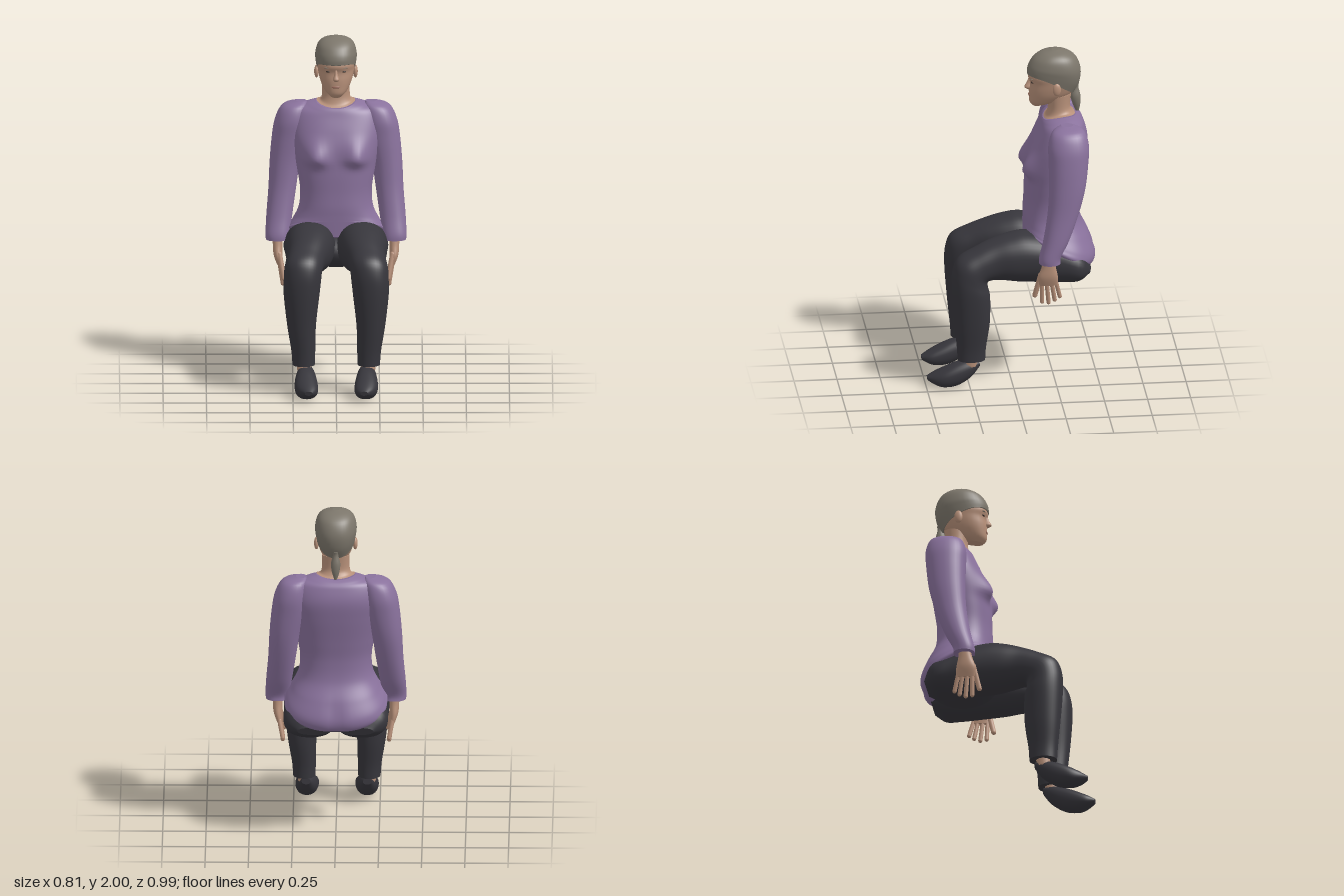
import * as THREE from 'three';

const mat = (name, color) => {
  const m = new THREE.MeshStandardMaterial({ color });
  m.name = name;
  return m;
};

// Smooth closed body through oval rings.
// Ring: [centreX, halfWidth, frontY, frontZ, backY, backZ, sideLift]
function loft(rings, { side = 1, seg = 32, sub = 5, pow = 2.2, warp } = {}) {
  const n = rings.length, pos = [], idx = [], p = new THREE.Vector3();
  const at = (i, k) => rings[Math.min(n - 1, Math.max(0, i))][k] ?? 0;
  const sample = (i, t) => Array.from({ length: 7 }, (_, k) => {
    const a = at(i - 1, k), b = at(i, k), c = at(i + 1, k), d = at(i + 2, k);
    return b + 0.5 * t * (c - a + t * (2 * a - 5 * b + 4 * c - d + t * (3 * (b - c) + d - a)));
  });
  const curve = (v) => Math.sign(v) * Math.abs(v) ** (2 / pow);
  const addRing = ([cx, w, yf, zf, yb, zb, lift]) => {
    for (let j = 0; j < seg; j++) {
      const a = (j / seg) * Math.PI * 2, c = curve(Math.cos(a)), s = curve(Math.sin(a));
      p.set(cx * side + w * c, (yf + yb) / 2 + (s * (yf - yb)) / 2 + lift * c * c,
        (zf + zb) / 2 + (s * (zf - zb)) / 2);
      if (warp) warp(p, s);
      pos.push(p.x, p.y, p.z);
    }
  };
  const rows = (n - 1) * sub + 1;
  for (let r = 0; r < rows; r++) addRing(sample(Math.floor(r / sub), (r % sub) / sub));
  for (let r = 0; r < rows - 1; r++) for (let j = 0; j < seg; j++) {
    const a = r * seg + j, b = r * seg + ((j + 1) % seg);
    idx.push(a, b, a + seg, b, b + seg, a + seg);
  }
  // End caps with their own vertices so the rims stay crisp
  for (const end of [0, n - 1]) {
    const base = pos.length / 3, q = sample(end, 0);
    addRing(q);
    pos.push(q[0] * side, (q[2] + q[4]) / 2, (q[3] + q[5]) / 2);
    for (let j = 0; j < seg; j++) {
      const a = base + j, b = base + ((j + 1) % seg);
      end ? idx.push(a, b, base + seg) : idx.push(b, a, base + seg);
    }
  }
  // Turn faces outward using the signed volume
  let vol = 0;
  const v = (i) => new THREE.Vector3(pos[i * 3], pos[i * 3 + 1], pos[i * 3 + 2]);
  for (let i = 0; i < idx.length; i += 3) vol += v(idx[i]).dot(v(idx[i + 1]).cross(v(idx[i + 2])));
  if (vol < 0) idx.reverse();
  const g = new THREE.BufferGeometry();
  g.setAttribute('position', new THREE.Float32BufferAttribute(pos, 3));
  g.setIndex(idx);
  g.computeVertexNormals();
  return g;
}

const ball = (x, y, z, rx, ry, rz) =>
  new THREE.SphereGeometry(1, 24, 16).scale(rx, ry, rz).translate(x, y, z);

function rod(a, b, r) {
  const A = new THREE.Vector3(...a), B = new THREE.Vector3(...b), d = B.clone().sub(A);
  const g = new THREE.CapsuleGeometry(r, d.length() - r, 5, 10);
  g.applyQuaternion(new THREE.Quaternion().setFromUnitVectors(new THREE.Vector3(0, 1, 0), d.normalize()));
  return g.translate(...A.add(B).multiplyScalar(0.5).toArray());
}

export function createModel() {
  const skin = mat('skin', 0xb8917a), hair = mat('hair', 0x7c766b), sweater = mat('sweater', 0x8a729d);
  const dark = mat('darkCloth', 0x37363c), lip = mat('lips', 0x9c6b5c), eye = mat('eyes', 0x40342e);
  const root = new THREE.Group();
  root.name = 'seatedWoman';
  const add = (name, geo, m) => {
    const mesh = new THREE.Mesh(geo, m);
    mesh.name = name;
    root.add(mesh);
  };

  // Sweater body with bust and a slight cleft at the seat
  const bodyWarp = (p, s) => {
    if (s > 0) {
      const dx = (Math.abs(p.x) - 0.125) / 0.065, dy = (p.y - 1.3) / (p.y > 1.3 ? 0.09 : 0.04);
      p.z += 0.052 * Math.exp(-dx * dx - dy * dy) * s;
    } else {
      const dx = p.x / 0.04, dy = (p.y - 0.77) / 0.1;
      p.z += 0.014 * Math.exp(-dx * dx - dy * dy);
    }
  };
  add('sweaterBody', loft([
    [0, 0.115, 1.58, -0.195, 1.605, -0.385, 0.02],
    [0, 0.17, 1.565, -0.185, 1.59, -0.41, 0.02],
    [0, 0.235, 1.53, -0.17, 1.56, -0.43, 0.02],
    [0, 0.26, 1.45, -0.135, 1.48, -0.45],
    [0, 0.25, 1.35, -0.105, 1.37, -0.44],
    [0, 0.225, 1.22, -0.09, 1.22, -0.415],
    [0, 0.207, 1.1, -0.085, 1.1, -0.4],
    [0, 0.215, 1.02, -0.08, 0.98, -0.41],
    [0, 0.25, 0.97, -0.08, 0.87, -0.46],
    [0, 0.285, 0.945, -0.08, 0.77, -0.495],
    [0, 0.292, 0.93, -0.08, 0.71, -0.48],
    [0, 0.2, 0.85, -0.08, 0.69, -0.44],
  ], { seg: 64, sub: 8, pow: 2.35, warp: bodyWarp }), sweater);
  add('trouserSeat', ball(0, 0.75, -0.25, 0.2, 0.11, 0.2), dark);

  // Neck, head and hair
  add('neck', loft([
    [0, 0.112, 1.585, -0.2, 1.61, -0.38, 0.02],
    [0, 0.09, 1.605, -0.215, 1.625, -0.365, 0.008],
    [0, 0.08, 1.65, -0.225, 1.66, -0.352],
    [0, 0.08, 1.72, -0.22, 1.74, -0.36],
  ]), skin);
  add('head', loft([
    [0, 0.035, 1.66, -0.137, 1.675, -0.24],
    [0, 0.062, 1.685, -0.117, 1.7, -0.31],
    [0, 0.085, 1.725, -0.114, 1.74, -0.362],
    [0, 0.098, 1.765, -0.114, 1.78, -0.385],
    [0, 0.106, 1.81, -0.118, 1.82, -0.398],
    [0, 0.11, 1.85, -0.108, 1.86, -0.4],
    [0, 0.1, 1.895, -0.13, 1.9, -0.385],
    [0, 0.06, 1.95, -0.18, 1.95, -0.33],
  ], { pow: 2.3 }), skin);
  add('hairCap', loft([
    [0, 0.112, 1.858, -0.104, 1.735, -0.372, 0.03],
    [0, 0.118, 1.885, -0.105, 1.8, -0.405, 0.02],
    [0, 0.12, 1.92, -0.117, 1.88, -0.414],
    [0, 0.106, 1.957, -0.145, 1.95, -0.388],
    [0, 0.074, 1.985, -0.19, 1.985, -0.34],
    [0, 0.02, 2.0, -0.245, 2.0, -0.285],
  ], { seg: 40 }), hair);
  add('ponytail', loft([
    [0, 0.018, 1.79, -0.36, 1.785, -0.405],
    [0, 0.016, 1.755, -0.365, 1.76, -0.402],
    [0, 0.027, 1.71, -0.355, 1.71, -0.413],
    [0, 0.022, 1.66, -0.367, 1.66, -0.413],
    [0, 0.008, 1.615, -0.385, 1.615, -0.405],
  ], { seg: 16 }), hair);

  // Face
  add('nose', loft([
    [0, 0.008, 1.83, -0.112, 1.83, -0.145],
    [0, 0.011, 1.8, -0.1, 1.8, -0.145],
    [0, 0.019, 1.775, -0.087, 1.773, -0.145],
    [0, 0.011, 1.762, -0.102, 1.762, -0.145],
  ], { seg: 16 }), skin);
  add('mouth', ball(0, 1.727, -0.119, 0.026, 0.008, 0.009), lip);

  for (const s of [1, -1]) {
    const side = s > 0 ? 'left' : 'right', o = { side: s };
    add(side + 'Eye', ball(s * 0.044, 1.818, -0.131, 0.015, 0.006, 0.01), eye);
    add(side + 'Brow', ball(s * 0.046, 1.84, -0.127, 0.022, 0.004, 0.01), hair);
    add(side + 'Ear', ball(s * 0.112, 1.79, -0.265, 0.014, 0.038, 0.024), skin);

    add(side + 'Sleeve', loft([
      [0.2, 0.03, 1.605, -0.28, 1.605, -0.35],
      [0.235, 0.075, 1.575, -0.225, 1.58, -0.41],
      [0.255, 0.097, 1.5, -0.2, 1.5, -0.435],
      [0.27, 0.1, 1.4, -0.2, 1.4, -0.43],
      [0.295, 0.088, 1.25, -0.2, 1.25, -0.41],
      [0.31, 0.08, 1.1, -0.19, 1.1, -0.37],
      [0.327, 0.075, 0.95, -0.165, 0.95, -0.315],
      [0.337, 0.07, 0.85, -0.14, 0.85, -0.265],
      [0.337, 0.068, 0.81, -0.137, 0.81, -0.262],
    ], o), sweater);

    // Hand with spread fingers
    add(side + 'Palm', loft([
      [0.337, 0.03, 0.84, -0.165, 0.84, -0.23],
      [0.337, 0.028, 0.78, -0.152, 0.78, -0.235],
      [0.335, 0.025, 0.72, -0.133, 0.72, -0.247],
      [0.325, 0.016, 0.665, -0.14, 0.665, -0.248],
    ], o), skin);
    [[-0.155, -0.158, 0.55], [-0.182, -0.196, 0.545], [-0.21, -0.232, 0.56], [-0.235, -0.262, 0.58]]
      .forEach(([z0, z1, y1], i) =>
        add(side + 'Finger' + (i + 1), rod([s * 0.328, 0.69, z0], [s * 0.306, y1, z1], 0.0125), skin));
    add(side + 'Thumb', rod([s * 0.328, 0.74, -0.15], [s * 0.3, 0.59, -0.115], 0.015), skin);

    // Trouser leg from seat over the knee to the cuff
    add(side + 'TrouserLeg', loft([
      [0.13, 0.09, 0.72, -0.455, 0.67, -0.44],
      [0.15, 0.145, 0.82, -0.4, 0.632, -0.38],
      [0.15, 0.15, 0.9, -0.25, 0.625, -0.29],
      [0.15, 0.147, 0.935, -0.08, 0.63, -0.16],
      [0.155, 0.138, 0.925, 0.02, 0.64, -0.03],
      [0.163, 0.122, 0.895, 0.12, 0.655, 0.06],
      [0.178, 0.112, 0.852, 0.22, 0.662, 0.115],
      [0.19, 0.11, 0.8, 0.315, 0.655, 0.145],
      [0.195, 0.108, 0.72, 0.35, 0.62, 0.145],
      [0.2, 0.103, 0.6, 0.355, 0.56, 0.133],
      [0.2, 0.083, 0.4, 0.34, 0.4, 0.135],
      [0.19, 0.069, 0.25, 0.325, 0.25, 0.155],
      [0.188, 0.065, 0.17, 0.32, 0.17, 0.16],
    ], { side: s, seg: 40 }), dark);
    add(side + 'Ankle', rod([s * 0.183, 0.12, 0.245], [s * 0.186, 0.22, 0.235], 0.042), skin);
    add(side + 'Shoe', loft([
      [0.177, 0.026, 0.16, 0.195, 0.125, 0.19],
      [0.176, 0.05, 0.165, 0.25, 0.06, 0.24],
      [0.175, 0.064, 0.15, 0.32, 0.01, 0.32],
      [0.172, 0.067, 0.12, 0.39, 0.0, 0.4],
      [0.165, 0.054, 0.09, 0.45, 0.015, 0.45],
      [0.16, 0.022, 0.065, 0.495, 0.04, 0.492],
    ], o), dark);
  }
  return root;
}
